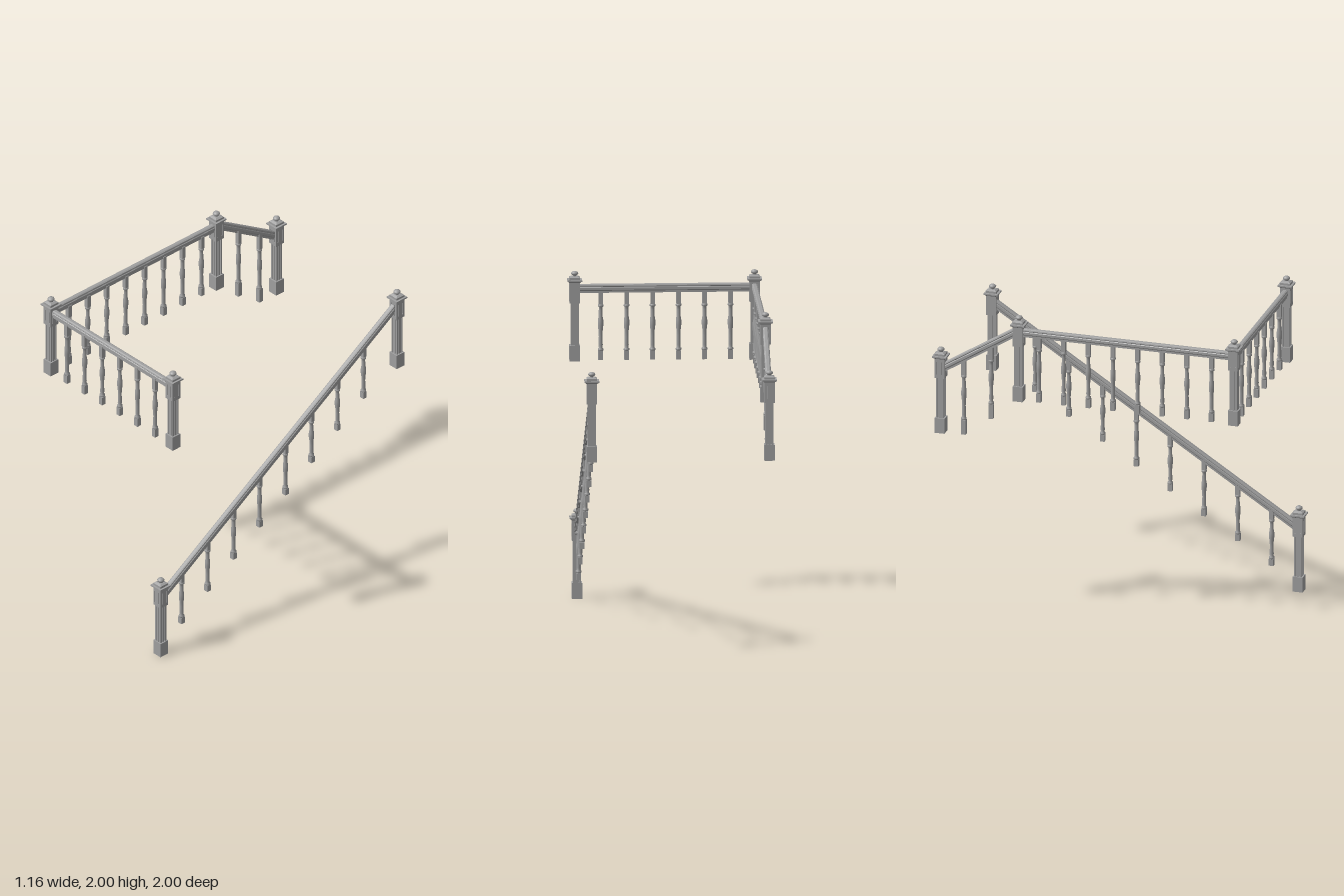
import * as THREE from 'three';

const grey = new THREE.MeshStandardMaterial({ color: 0xa0a0a0 });
grey.name = 'painted grey';

function add(parent, name, geometry, x = 0, y = 0, z = 0) {
  const mesh = new THREE.Mesh(geometry, grey);
  mesh.name = name;
  mesh.position.set(x, y, z);
  parent.add(mesh);
  return mesh;
}

// square block spanning y0..y1
function block(parent, name, width, y0, y1) {
  return add(parent, name, new THREE.BoxGeometry(width, y1 - y0, width), 0, (y0 + y1) / 2, 0);
}

// square column with vertical flutes cut in all four faces
function fluted(parent, name, width, y0, y1, flutes, grooveWidth, depth) {
  const h = width / 2, points = [];
  for (let side = 0; side < 4; side++) {
    const turn = (u, v) => {
      const a = side * Math.PI / 2, c = Math.cos(a), s = Math.sin(a);
      points.push(new THREE.Vector2(u * c - v * s, u * s + v * c));
    };
    turn(-h, -h);
    for (const f of flutes) {
      turn(f - grooveWidth / 2, -h);
      turn(f - grooveWidth / 2, -h + depth);
      turn(f + grooveWidth / 2, -h + depth);
      turn(f + grooveWidth / 2, -h);
    }
  }
  const geometry = new THREE.ExtrudeGeometry(new THREE.Shape(points), { depth: y1 - y0, bevelEnabled: false });
  geometry.rotateX(-Math.PI / 2);
  add(parent, name, geometry, 0, y0, 0);
}

// four-sided frustum
function taper(parent, name, bottom, top, y0, y1) {
  const geometry = new THREE.CylinderGeometry(top / Math.SQRT2, bottom / Math.SQRT2, y1 - y0, 4).toNonIndexed();
  geometry.rotateY(Math.PI / 4);
  geometry.computeVertexNormals();
  add(parent, name, geometry, 0, (y0 + y1) / 2, 0);
}

function lathe(profile, segments) {
  return new THREE.LatheGeometry(profile.map(([r, y]) => new THREE.Vector2(r, y)), segments);
}

function newelPost(x, y, z) {
  const post = new THREE.Group();
  post.name = 'newelPost';
  post.position.set(x, y, z);
  block(post, 'postBase', 0.062, 0, 0.095);
  fluted(post, 'postShaft', 0.047, 0.095, 0.36, [-0.01, 0.01], 0.007, 0.005);
  block(post, 'headLowerEdge', 0.062, 0.352, 0.375);
  fluted(post, 'headPanel', 0.062, 0.375, 0.455, [-0.017, 0.017], 0.006, 0.004);
  block(post, 'headUpperEdge', 0.062, 0.455, 0.475);
  taper(post, 'capMoulding', 0.062, 0.08, 0.475, 0.484);
  block(post, 'capPlate', 0.087, 0.484, 0.493);
  block(post, 'capStep', 0.062, 0.493, 0.506);
  taper(post, 'capSlope', 0.062, 0.034, 0.506, 0.513);
  add(post, 'finial', lathe([[0.013, 0.51], [0.011, 0.518], [0.02, 0.524], [0.022, 0.53],
    [0.018, 0.537], [0.01, 0.542], [0, 0.544]], 16));
  return post;
}

// moulded handrail between two points
function handrail(from, to) {
  const half = [[0.011, -0.026], [0.011, -0.014], [0.017, -0.008], [0.017, 0.006],
    [0.013, 0.01], [0.017, 0.015], [0.015, 0.022], [0.008, 0.026]];
  const outline = [...half, ...half.map(([x, y]) => [-x, y]).reverse()];
  const shape = new THREE.Shape(outline.map(([x, y]) => new THREE.Vector2(x, y)));
  const a = new THREE.Vector3(...from), b = new THREE.Vector3(...to);
  const geometry = new THREE.ExtrudeGeometry(shape, { depth: a.distanceTo(b), bevelEnabled: false });
  const rail = new THREE.Mesh(geometry, grey);
  rail.name = 'handrail';
  rail.position.copy(a);
  rail.lookAt(b);
  return rail;
}

// square-ended turned spindle; low and high are the heights of its two rings
function baluster(x, z, bottom, low, high, top) {
  const spindle = new THREE.Group();
  spindle.name = 'baluster';
  spindle.position.set(x, 0, z);
  block(spindle, 'spindleFoot', 0.028, bottom, low - 0.008);
  block(spindle, 'spindleHead', 0.026, high + 0.008, top);
  const ring = [[0.011, -0.01], [0.017, -0.005], [0.017, 0.005], [0.011, 0.01]];
  const span = high - low;
  const body = [[0.1, 0.013], [0.3, 0.011], [0.42, 0.0125], [0.55, 0.0165], [0.66, 0.0165],
    [0.76, 0.012], [0.9, 0.011]].map(([t, r]) => [r, low + t * span]);
  add(spindle, 'spindleTurning', lathe([...ring.map(([r, y]) => [r, y + low]), ...body,
    ...ring.map(([r, y]) => [r, y + high])], 12));
  return spindle;
}

export function createModel() {
  const model = new THREE.Group();
  model.name = 'staircaseRailing';

  // newel posts
  for (const p of [[0.518, 0, 0.953], [0.522, 1.2, -0.957], [0.535, 1.458, 0.87],
    [-0.538, 1.458, 0.87], [-0.538, 1.458, -0.47], [-0.538, 1.2, -0.957]]) {
    model.add(newelPost(...p));
  }

  // handrails
  const railY = 1.895;
  model.add(handrail([0.518, 0.405, 0.945], [0.518, 1.625, -0.94]));
  model.add(handrail([-0.53, railY, 0.87], [0.53, railY, 0.87]));
  model.add(handrail([-0.538, railY, -0.465], [-0.538, railY, 0.87]));
  model.add(handrail([-0.538, 1.9, -0.48], [-0.538, 1.612, -0.945]));

  // long flight balusters
  for (let i = 0; i < 8; i++) {
    const z = 0.783 - i * 0.2105, y = 0.143 + i * 0.135;
    model.add(baluster(0.516, z, y, y + 0.05, y + 0.287, 1.015 - z * 0.647));
  }
  // front landing balusters
  for (let i = 0; i < 6; i++) {
    model.add(baluster(-0.395 + i * 0.155, 0.872, 1.46, 1.523, 1.79, 1.88));
  }
  // side landing balusters
  for (let i = 0; i < 8; i++) {
    model.add(baluster(-0.536, 0.728 - i * 0.1535, 1.46, 1.523, 1.79, 1.88));
  }
  // short flight balusters
  for (const [z, y] of [[-0.645, 1.32], [-0.815, 1.2]]) {
    model.add(baluster(-0.534, z, y, y + 0.1, y + 0.37, 1.9 + (z + 0.48) * 0.619));
  }
  return model;
}
